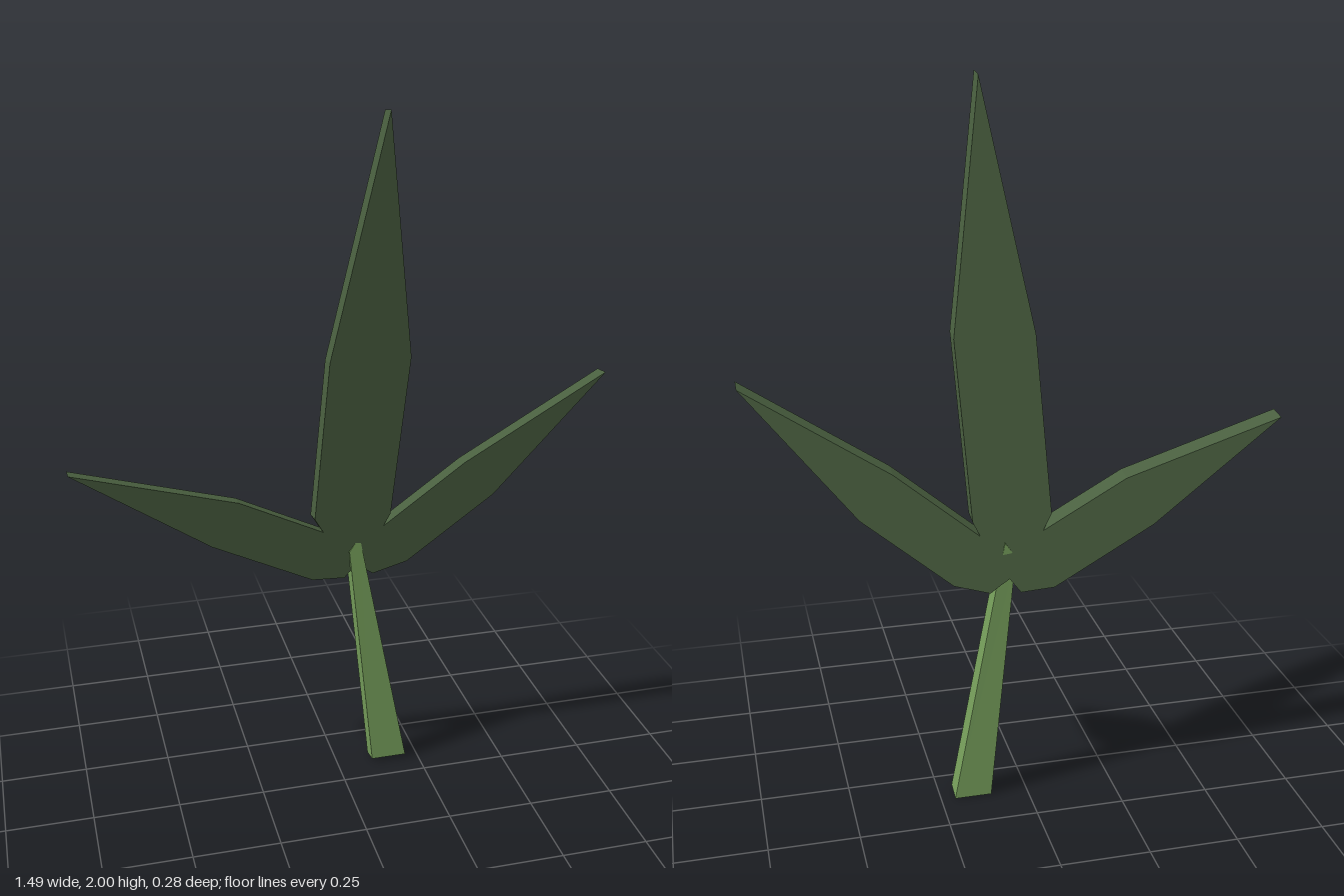
import * as THREE from 'three';

const THICKNESS = 0.055;

// Three pointed blades sharing one base, cut as a slab and leaned forward
function createBlades() {
  const outline = [
    [0.05, 0.68], [0.075, 0.665],
    // left blade
    [0.105, 0.645], [0.205, 0.675], [0.45, 0.875], [0.745, 1.24], [0.355, 0.99],
    // middle blade
    [0.127, 0.805], [0.146, 0.845], [0.175, 1.335], [0.08, 2], [-0.048, 1.335], [-0.074, 0.85],
    // right blade
    [-0.048, 0.805], [-0.29, 0.93], [-0.745, 1.065], [-0.365, 0.795], [-0.075, 0.645], [0.02, 0.64],
  ].map(([x, y]) => new THREE.Vector2(x, y));

  const geometry = new THREE.ExtrudeGeometry(new THREE.Shape(outline), {
    depth: THICKNESS, bevelEnabled: false,
  });

  const pos = geometry.attributes.position;
  for (let i = 0; i < pos.count; i++) {
    const x = pos.getX(i), y = pos.getY(i), z = pos.getZ(i) - THICKNESS;
    pos.setXYZ(i, x, y + 0.14 * z, 0.139 + 0.162 * (y - 2) + 0.007 * x + z);
  }
  geometry.computeVertexNormals();

  const mesh = new THREE.Mesh(geometry, new THREE.MeshStandardMaterial({ color: 0x4a6040, flatShading: true }));
  mesh.name = 'leafBlades';
  return mesh;
}

// Four-sided stem, narrowing to a slanted top that sinks into the blades
function createStem() {
  const geometry = new THREE.BoxGeometry(1, 1, 1);
  const pos = geometry.attributes.position;
  for (let i = 0; i < pos.count; i++) {
    const left = pos.getX(i) > 0, top = pos.getY(i) > 0, front = pos.getZ(i) > 0;
    const x = top ? (left ? 0.06 : 0.03) : (left ? 0.21 : 0.105);
    const y = top ? (left ? 0.775 : 0.73) : (front ? 0.012 : 0);
    const z = (front ? -0.07 : -0.126) + (top ? 0.008 : 0);
    pos.setXYZ(i, x, y, z);
  }
  geometry.computeVertexNormals();

  const mesh = new THREE.Mesh(geometry, new THREE.MeshStandardMaterial({ color: 0x769f5b, flatShading: true }));
  mesh.name = 'stem';
  return mesh;
}

export function createModel() {
  const group = new THREE.Group();
  group.name = 'leaf';
  group.add(createBlades(), createStem());
  return group;
}
